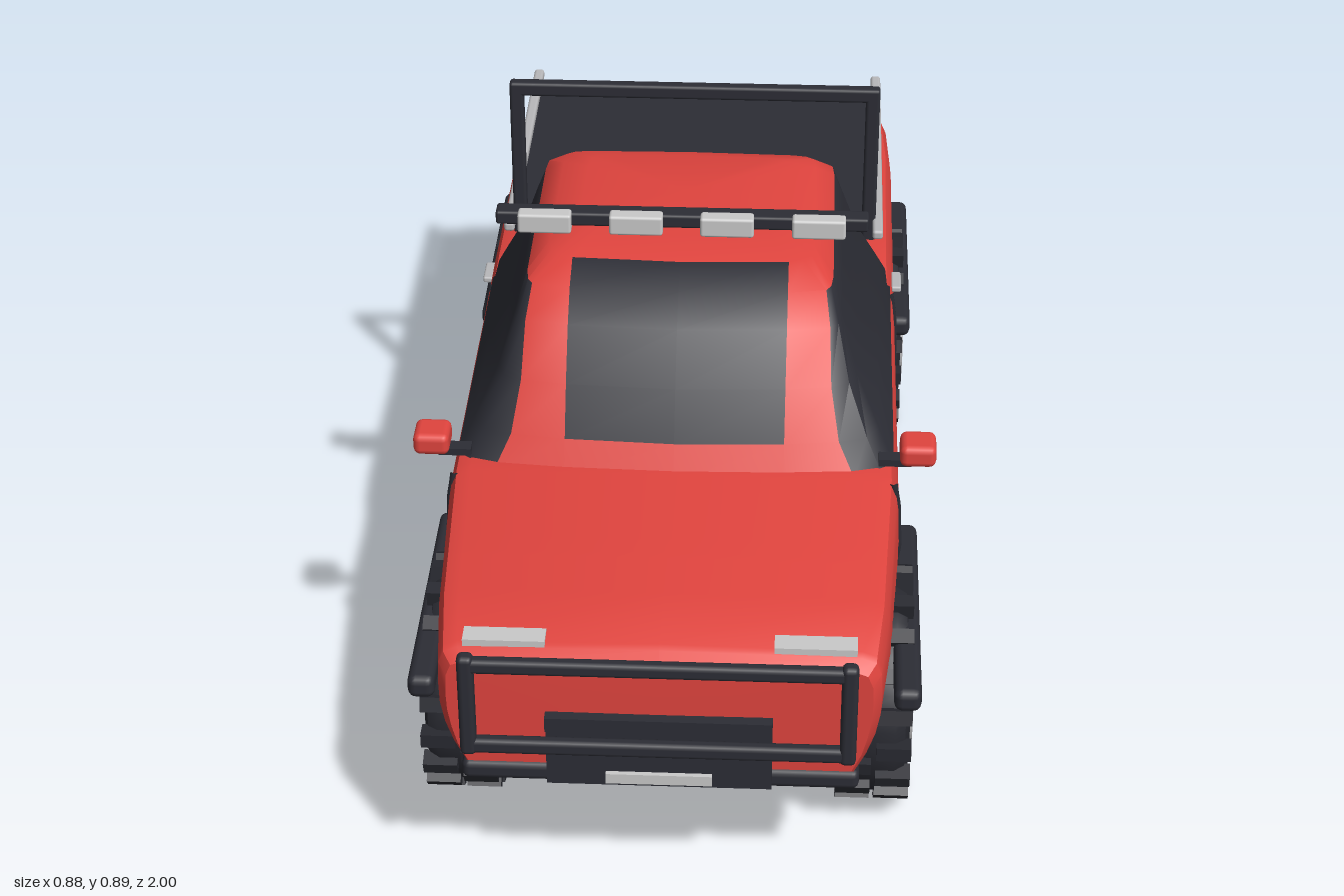
import * as THREE from 'three';
import { toCreasedNormals } from 'three/addons/utils/BufferGeometryUtils.js';
import { RoundedBoxGeometry } from 'three/addons/geometries/RoundedBoxGeometry.js';

const mat = (name, color) => new THREE.MeshStandardMaterial({ name, color });
const red = mat('red paint', 0xe0443e);
const dark = mat('dark trim and glass', 0x2c2d35);
const rubber = mat('tyre rubber', 0x282930);
const silver = mat('silver metal', 0xb8b8ba);
const lamp = mat('lamp glass', 0xcacaca);

const WHEEL_Z = [0.58, -0.59], WHEEL_Y = 0.2, ARCH_R = 0.225;

// Piecewise linear lookup in a list of [position, value] pairs, ascending
function lookup(table, v) {
  if (v <= table[0][0]) return table[0][1];
  for (let i = 1; i < table.length; i++) {
    const [a, fa] = table[i - 1], [b, fb] = table[i];
    if (v <= b) return fa + (fb - fa) * (v - a) / (b - a);
  }
  return table[table.length - 1][1];
}

// Skin closed rings of points; pick(i, j) gives the material index of each quad
function loft(rings, pick, crease) {
  const buckets = [[], []];
  const n = rings[0].length, tri = new THREE.Triangle();
  for (let i = 0; i < rings.length - 1; i++) {
    for (let j = 0; j < n; j++) {
      const k = (j + 1) % n;
      const a = rings[i][j], b = rings[i][k], c = rings[i + 1][j], d = rings[i + 1][k];
      for (const t of [[a, c, b], [b, c, d]]) {
        tri.set(...t);
        if (tri.getArea() > 1e-9) t.forEach(p => buckets[pick(i, j)].push(p.x, p.y, p.z));
      }
    }
  }
  const g = new THREE.BufferGeometry();
  g.setAttribute('position', new THREE.Float32BufferAttribute(buckets.flat(), 3));
  g.addGroup(0, buckets[0].length / 3, 0);
  g.addGroup(buckets[0].length / 3, buckets[1].length / 3, 1);
  return toCreasedNormals(g, crease);
}

// Mirror a half ring that starts and ends on the centre line
const mirrored = half => [...half, ...half.slice(1, -1).reverse().map(p => new THREE.Vector3(-p.x, p.y, p.z))];

// Lower body outlines: half width along z and y, top and floor heights along z
const widthZ = [[-0.96, 0.34], [-0.945, 0.357], [-0.86, 0.377], [-0.7, 0.385], [0.48, 0.385], [0.8, 0.366], [0.93, 0.352], [0.95, 0.338]];
const widthY = [[0.26, 0.84], [0.3, 0.9], [0.35, 0.965], [0.42, 1], [0.5, 0.99], [0.56, 0.965]];
const topZ = [[-0.96, 0.515], [-0.945, 0.53], [-0.32, 0.568], [-0.22, 0.575], [-0.1, 0.56], [0.48, 0.556], [0.7, 0.541], [0.92, 0.522], [0.95, 0.505]];
const floorZ = [[-0.96, 0.31], [-0.94, 0.28], [-0.82, 0.265], [0.8, 0.265], [0.92, 0.28], [0.95, 0.305]];
const bodyX = (y, z) => lookup(widthZ, z) * lookup(widthY, y);

function bodyGeometry() {
  const stations = [...widthZ, ...topZ, ...floorZ].map(p => p[0]);
  const a0 = Math.asin((0.265 - WHEEL_Y) / ARCH_R);
  for (const zc of WHEEL_Z) {
    for (let i = 0; i <= 20; i++) stations.push(zc + ARCH_R * Math.cos(a0 + (Math.PI - 2 * a0) * i / 20));
  }
  const zs = [...new Set(stations.map(z => +z.toFixed(4)))].sort((a, b) => b - a);
  const rings = zs.map(z => {
    const top = lookup(topZ, z), shoulder = top - 0.03;
    let bot = lookup(floorZ, z);
    for (const zc of WHEEL_Z) {
      const d = Math.abs(z - zc);
      if (d < ARCH_R) bot = Math.max(bot, WHEEL_Y + Math.sqrt(ARCH_R ** 2 - d * d));
    }
    const half = [new THREE.Vector3(0, bot, z)];
    for (let i = 0; i <= 5; i++) {
      const y = bot + (shoulder - bot) * i / 5;
      half.push(new THREE.Vector3(bodyX(y, z), y, z));
    }
    const w = bodyX(shoulder, z);
    half.push(new THREE.Vector3(w * 0.975, top - 0.009, z), new THREE.Vector3(w * 0.91, top, z), new THREE.Vector3(0, top + 0.004, z));
    return mirrored(half);
  });
  const cap = z => rings[0].map(() => new THREE.Vector3(0, 0.42, z));
  const n = rings[0].length;
  // Underside and wheel tunnels are dark
  return loft([cap(0.952), ...rings, cap(-0.963)],
    (i, j) => (j === 0 || j === n - 1) && i > 0 && i < rings.length ? 1 : 0, 0.6);
}

// Cab levels from roof to belt: y, front z, back z, half width, pillar x
function cabGeometry() {
  const levels = [
    [0.835, 0.15, -0.12, 0.18, 0.165], [0.825, 0.235, -0.152, 0.228, 0.21], [0.803, 0.3, -0.165, 0.262, 0.25],
    [0.76, 0.352, -0.178, 0.278, 0.258], [0.68, 0.412, -0.203, 0.305, 0.262], [0.6, 0.458, -0.232, 0.345, 0.277],
    [0.545, 0.487, -0.25, 0.372, 0.305]];
  const rings = levels.map(([y, f, b, w, p]) => {
    const s = Math.min(0.185, p * 0.9), q = (w + p) / 2 + (w - p) * 0.2, v = (x, z) => new THREE.Vector3(x, y, z);
    return mirrored([v(0, f + 0.008), v(s, f), v(p, f - 0.012), v(q, f - 0.026), v(w, f - 0.06),
      v(w, (f + b) / 2), v(w, b + 0.045), v(q, b + 0.012), v(p, b + 0.004), v(s, b), v(0, b - 0.004)]);
  });
  const n = rings[0].length;
  const cap = rings[0].map(() => new THREE.Vector3(0, 0.838, 0.01));
  return loft([cap, ...rings], (i, j) => {
    const c = j < n / 2 ? j : n - 1 - j;
    if (c === 0) return i >= 2 && i <= 5 ? 1 : 0;   // windshield
    if (c === 9) return i >= 3 && i <= 5 ? 1 : 0;   // rear window
    return c >= 2 && c <= 7 && i >= 3 ? 1 : 0;      // side windows
  }, 0.7);
}

function makeWheel() {
  const wheel = new THREE.Group();
  const add = (name, geo, m) => {
    const mesh = new THREE.Mesh(geo, m);
    mesh.name = name;
    wheel.add(mesh);
    return mesh;
  };
  // The axle is x, outer face towards +x
  const profile = [[0, -0.06], [0.15, -0.06], [0.175, -0.052], [0.186, -0.035], [0.186, 0.035], [0.175, 0.052], [0.15, 0.06], [0.118, 0.06], [0.112, 0.045], [0, 0.045]];
  const tyre = new THREE.LatheGeometry(profile.map(p => new THREE.Vector2(...p)), 36);
  add('tyre', toCreasedNormals(tyre.rotateZ(-Math.PI / 2), 0.6), rubber);
  const count = 18;
  for (let i = 0; i < count * 2; i++) {
    const lug = new THREE.BoxGeometry(0.058, 0.03, 0.026).translate(i % 2 ? 0.033 : -0.033, 0.185, 0);
    add('treadLug', lug.rotateX(i * Math.PI / count), rubber);
  }
  const ring = new THREE.Shape().absarc(0, 0, 0.115, 0, Math.PI * 2);
  ring.holes.push(new THREE.Path().absarc(0, 0, 0.09, 0, Math.PI * 2, true));
  const rim = new THREE.ExtrudeGeometry(ring, { depth: 0.022, bevelEnabled: false, curveSegments: 28 });
  add('rim', rim.rotateY(Math.PI / 2).translate(0.044, 0, 0), silver);
  for (let i = 0; i < 6; i++) {
    const spoke = new THREE.BoxGeometry(0.014, 0.024, 0.08).translate(0.054, 0, 0.056);
    add('spoke', spoke.rotateX(i * Math.PI / 3), silver);
  }
  add('hub', new THREE.CylinderGeometry(0.024, 0.028, 0.026, 20).rotateZ(-Math.PI / 2).translate(0.056, 0, 0), silver);
  return wheel;
}

export function createModel() {
  const model = new THREE.Group();
  const add = (name, geo, m) => {
    const mesh = new THREE.Mesh(geo, m);
    mesh.name = name;
    model.add(mesh);
    return mesh;
  };
  // Box given by its extents, with optional rounding
  const box = (name, m, x0, x1, y0, y1, z0, z1, r = 0) => {
    const s = [x1 - x0, y1 - y0, z1 - z0];
    const g = r ? new RoundedBoxGeometry(...s, 2, r) : new THREE.BoxGeometry(...s);
    return add(name, g.translate((x0 + x1) / 2, (y0 + y1) / 2, (z0 + z1) / 2), m);
  };
  const pair = (name, m, x0, x1, ...rest) => {
    box(name, m, x0, x1, ...rest);
    box(name, m, -x1, -x0, ...rest);
  };

  add('body', bodyGeometry(), [red, dark]);
  add('cab', cabGeometry(), [red, dark]);

  // Underside, sills and bumpers
  box('floorPan', dark, -0.31, 0.31, 0.24, 0.27, -0.37, 0.36);
  pair('sill', dark, 0.29, 0.345, 0.242, 0.278, -0.38, 0.37, 0.008);
  box('frontBumper', dark, -0.32, 0.32, 0.252, 0.288, 0.8, 0.935, 0.012);
  box('frontSkidPlate', dark, -0.31, 0.31, 0.226, 0.242, 0.79, 0.875);
  box('rearBumper', dark, -0.31, 0.31, 0.25, 0.285, -0.94, -0.82, 0.012);
  box('rearSkidPlate', dark, -0.3, 0.3, 0.226, 0.242, -0.93, -0.83);
  add('exhaust', new THREE.CylinderGeometry(0.02, 0.02, 0.09, 16).rotateX(Math.PI / 2).translate(0.19, 0.27, -0.955), silver);

  // Front end
  box('grille', dark, -0.18, 0.18, 0.27, 0.41, 0.94, 0.958);
  box('winchBar', dark, -0.18, 0.18, 0.385, 0.412, 0.955, 0.972);
  box('frontPlate', lamp, -0.085, 0.085, 0.279, 0.298, 0.955, 0.966);
  pair('headlight', lamp, 0.18, 0.31, 0.5, 0.53, 0.893, 0.928);
  box('bullBarTop', dark, -0.31, 0.31, 0.514, 0.54, 0.976, 0.998, 0.008);
  box('bullBarBottom', dark, -0.31, 0.31, 0.357, 0.384, 0.976, 0.998, 0.008);
  pair('bullBarUpright', dark, 0.286, 0.312, 0.354, 0.546, 0.974, 1.0, 0.009);

  // Rear end
  pair('tailLight', red, 0.15, 0.25, 0.488, 0.515, -0.975, -0.945);
  box('rearPlate', lamp, -0.08, 0.08, 0.355, 0.4, -0.969, -0.955);

  // Cargo bed
  const cover = box('bedCover', dark, -0.345, 0.345, -0.011, 0.011, -0.295, 0.295);
  cover.position.set(0, 0.568, -0.61);
  pair('bedRail', silver, 0.338, 0.358, 0.596, 0.615, -0.905, -0.25, 0.006);
  pair('rollBarPost', dark, 0.318, 0.344, 0.56, 0.884, -0.322, -0.298, 0.006);
  box('rollBarTop', dark, -0.344, 0.344, 0.858, 0.885, -0.322, -0.298, 0.006);

  // Roof light bar
  box('lightBar', dark, -0.32, 0.32, 0.86, 0.885, 0.155, 0.19, 0.005);
  for (const x of [-0.235, -0.078, 0.078, 0.235]) box('roofLamp', lamp, x - 0.046, x + 0.046, 0.853, 0.889, 0.178, 0.207, 0.005);

  // Side details
  pair('mirror', red, 0.38, 0.441, 0.57, 0.61, 0.415, 0.478, 0.012);
  pair('mirrorArm', dark, 0.345, 0.4, 0.562, 0.575, 0.435, 0.46);
  pair('doorHandle', silver, 0.375, 0.394, 0.518, 0.53, -0.25, -0.19, 0.004);
  for (const z of WHEEL_Z) pair('fenderFlare', dark, 0.375, 0.42, 0.322, 0.364, z - 0.242, z + 0.242, 0.014);
  for (const side of [1, -1]) {
    for (const [z, y0] of [[0.49, 0.4], [-0.135, 0.275]]) {
      const path = [0, 1, 2, 3, 4, 5, 6].map(i => y0 + (0.55 - y0) * i / 6).map(y => new THREE.Vector3(side * (bodyX(y, z) - 0.002), y, z));
      add('doorSeam', new THREE.TubeGeometry(new THREE.CatmullRomCurve3(path), 12, 0.007, 6), dark);
    }
    for (const z of WHEEL_Z) {
      const wheel = makeWheel();
      wheel.name = 'wheel';
      wheel.position.set(side * 0.347, WHEEL_Y, z);
      if (side < 0) wheel.rotation.y = Math.PI;
      model.add(wheel);
    }
  }
  return model;
}
